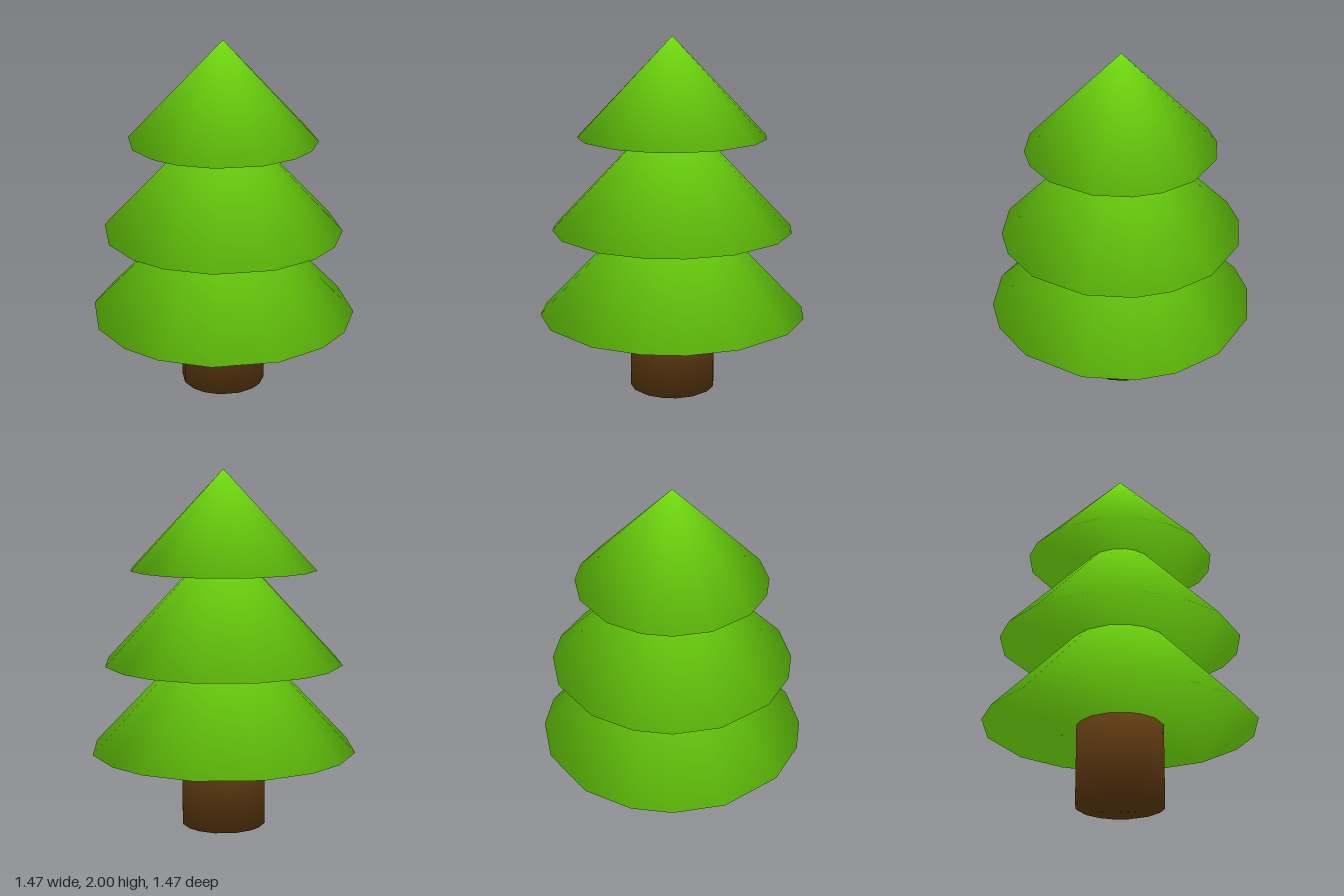
import * as THREE from 'three';

// Slightly irregular 16-sided outline: four angles repeated every quarter turn
const ANGLES = [];
for (let q = 0; q < 4; q++) {
  for (const a of [11.2, 33.5, 51, 73.3]) ANGLES.push(THREE.MathUtils.degToRad(a + q * 90));
}
const N = ANGLES.length;

// Closed smooth solid from a bottom ring to a top ring (top radius 0 makes a point).
// tiltBottom and tiltTop are the vertical parts of the soft rim normals.
function softSolid(r0, y0, tiltBottom, r1, y1, tiltTop) {
  const positions = [], normals = [], index = [];
  for (const [r, y, tilt] of [[r0, y0, tiltBottom], [r1, y1, tiltTop]]) {
    const out = Math.sqrt(1 - tilt * tilt);
    for (const a of ANGLES) {
      positions.push(r * Math.cos(a), y, r * Math.sin(a));
      normals.push(out * Math.cos(a), tilt, out * Math.sin(a));
    }
  }
  for (let i = 0; i < N; i++) {
    const j = (i + 1) % N;
    index.push(i, N + i, j);
    if (r1 > 0) index.push(j, N + i, N + j);
  }
  // Flat ends
  for (let i = 1; i < N - 1; i++) {
    index.push(0, i, i + 1);
    if (r1 > 0) index.push(N, N + i + 1, N + i);
  }
  const geometry = new THREE.BufferGeometry();
  geometry.setAttribute('position', new THREE.Float32BufferAttribute(positions, 3));
  geometry.setAttribute('normal', new THREE.Float32BufferAttribute(normals, 3));
  geometry.setIndex(index);
  return geometry;
}

export function createModel() {
  const tree = new THREE.Group();
  tree.name = 'pineTree';

  const leafGreen = new THREE.MeshStandardMaterial({ color: 0x72de0e });
  leafGreen.name = 'leafGreen';
  const barkBrown = new THREE.MeshStandardMaterial({ color: 0x5e3a10 });
  barkBrown.name = 'barkBrown';

  const add = (name, geometry, material) => {
    const mesh = new THREE.Mesh(geometry, material);
    mesh.name = name;
    tree.add(mesh);
  };

  // Trunk, its top tucked into the lowest tier
  add('trunk', softSolid(0.24, 0, -0.66, 0.24, 0.46, 0.66), barkBrown);

  // Three cone tiers of foliage: name, radius, base height, tip height
  for (const [name, radius, base, tip] of [
    ['lowerFoliage', 0.75, 0.44, 1.22],
    ['middleFoliage', 0.673, 0.93, 1.64],
    ['upperFoliage', 0.525, 1.45, 2],
  ]) {
    add(name, softSolid(radius, base, -0.33, 0, tip, 1), leafGreen);
  }
  return tree;
}
